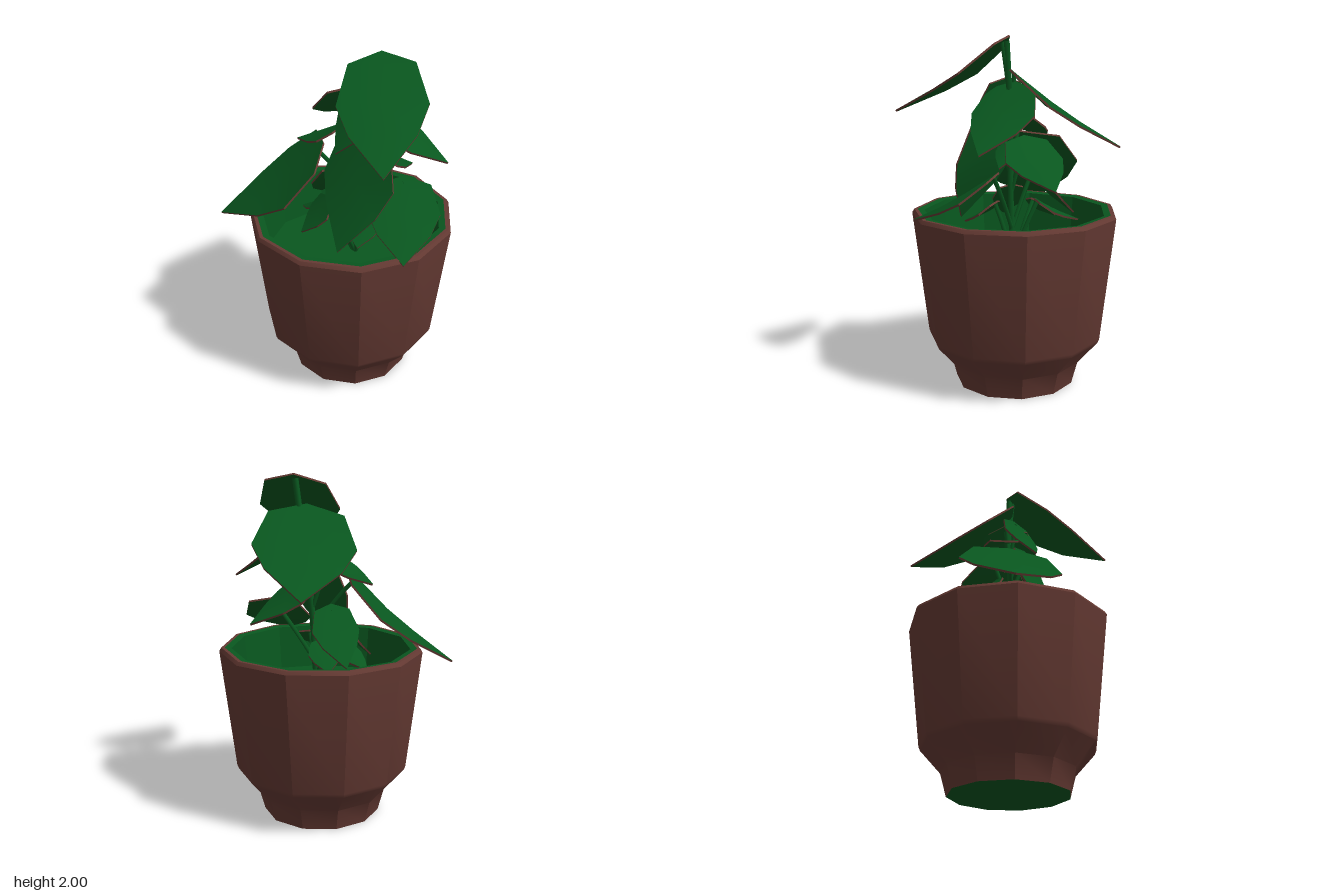
import * as THREE from 'three';
import { toCreasedNormals } from 'three/addons/utils/BufferGeometryUtils.js';

const clay = new THREE.MeshStandardMaterial({ color: 0x653a33 });
clay.name = 'clay brown';
const green = new THREE.MeshStandardMaterial({ color: 0x09571f });
green.name = 'leaf green';

const POT_X = 0.073;
const V = (a) => new THREE.Vector3(...a);

function mesh(name, geometry, material) {
  const m = new THREE.Mesh(geometry, material);
  m.name = name;
  return m;
}

// Eleven-sided turned part with a corner on the +x side
function turned(name, profile, material) {
  const points = profile.map(([r, y]) => new THREE.Vector2(r, y));
  const geo = new THREE.LatheGeometry(points, 11, Math.PI / 2);
  const m = mesh(name, toCreasedNormals(geo, 0.52), material);
  m.position.x = POT_X;
  return m;
}

// Non-indexed geometry with flat faces
function facets(triangles) {
  const geo = new THREE.BufferGeometry().setFromPoints(triangles);
  geo.computeVertexNormals();
  return geo;
}

// Half outline of a leaf: [distance along it, half width as a share of its width]
const HALF = [[0, 0], [0.09, 0.37], [0.4, 0.5], [0.65, 0.36], [1, 0]];

// Eight-cornered leaf blade from base to tip with drooping sides and a thin brown edge
function leaf({ name, base, tip, width, roll = 0 }) {
  const start = V(base);
  const axis = V(tip).sub(start);
  const length = axis.length();
  const dir = axis.clone().normalize();
  const side = new THREE.Vector3(0, 1, 0).cross(dir).normalize().applyAxisAngle(dir, roll);
  const normal = dir.clone().cross(side).normalize();
  const at = (t, w, drop) => start.clone()
    .addScaledVector(axis, t)
    .addScaledVector(side, w * width)
    .addScaledVector(normal, -length * t * (1 - t) * (0.1 + 0.3 * Math.abs(w)) - drop);

  // Rows of left, middle and right points; the first and last rows are single points
  const rows = (drop) => HALF.map(([t, w]) => [at(t, w, drop), at(t, 0, drop), at(t, -w, drop)]);
  const skin = (r, flip) => {
    const out = [];
    const tri = (a, b, c) => out.push(...(flip ? [a, c, b] : [a, b, c]));
    for (let i = 0; i < r.length - 1; i++) {
      for (let j = 0; j < 2; j++) {
        if (i > 0) tri(r[i][j], r[i][j + 1], r[i + 1][j]);
        if (i < r.length - 2) tri(r[i][j + 1], r[i + 1][j + 1], r[i + 1][j]);
      }
    }
    return out;
  };
  const ring = (r) => [...r.map((p) => p[2]), ...r.slice(1, -1).reverse().map((p) => p[0])];
  const top = rows(0);
  const under = rows(0.011);

  // Edge strip between the two skins
  const a = ring(top);
  const b = ring(under);
  const edge = [];
  a.forEach((p, i) => {
    const k = (i + 1) % a.length;
    edge.push(p, b[i], a[k], a[k], b[i], b[k]);
  });

  const g = new THREE.Group();
  g.name = name;
  const blade = [...skin(top, false), ...skin(under, true)];
  g.add(mesh('leafBlade', toCreasedNormals(facets(blade), 0.7), green));
  g.add(mesh('leafEdge', facets(edge), clay));
  return g;
}

// Main stem path, also used to root the leaf stalks
const stemCurve = new THREE.CatmullRomCurve3([
  V([0.1, 0.72, 0]), V([0.13, 1.2, 0]), V([0.17, 1.6, -0.02]), V([0.22, 1.97, -0.025]),
]);

function stalk(base, tip) {
  const end = V(base).lerp(V(tip), 0.06);
  end.y -= 0.012;
  const u = THREE.MathUtils.clamp((base[1] - 0.4 - 0.72) / 1.25, 0, 1);
  const root = stemCurve.getPoint(u);
  const mid = root.clone().lerp(end, 0.6);
  mid.y += 0.03;
  const curve = new THREE.QuadraticBezierCurve3(root, mid, end);
  return mesh('leafStalk', new THREE.TubeGeometry(curve, 4, 0.013, 5), green);
}

const LEAVES = [
  { name: 'topFrontLeaf', base: [0.22, 2.0, -0.04], tip: [0.43, 1.59, 0.56], width: 0.48, roll: 0.06 },
  { name: 'topBackLeaf', base: [0.16, 1.83, 0], tip: [-0.1, 1.39, -0.57], width: 0.58, roll: -0.08 },
  { name: 'bigSideLeaf', base: [-0.08, 1.45, 0.04], tip: [-0.67, 0.96, 0.19], width: 0.59, roll: -0.145 },
  { name: 'middleFrontLeaf', base: [0.18, 1.57, 0.08], tip: [0.11, 0.95, 0.34], width: 0.45 },
  { name: 'lowFrontLeaf', base: [0.37, 1.28, -0.05], tip: [0.51, 1.0, 0.41], width: 0.4 },
  { name: 'upperSideLeaf', base: [0.15, 1.75, -0.04], tip: [0.61, 1.4, -0.06], width: 0.37 },
  { name: 'middleBackLeaf', base: [0.1, 1.45, -0.07], tip: [0.33, 1.19, -0.37], width: 0.35 },
  { name: 'smallSideLeaf', base: [0.02, 1.56, 0], tip: [-0.27, 1.41, -0.04], width: 0.22 },
  { name: 'upperFrontLeaf', base: [0.14, 1.77, 0.02], tip: [0.04, 1.47, 0.18], width: 0.27 },
  { name: 'lowBackLeaf', base: [-0.02, 1.28, -0.06], tip: [-0.21, 0.97, -0.25], width: 0.28 },
  { name: 'innerSideLeaf', base: [0.14, 1.43, 0], tip: [0.27, 1.28, 0], width: 0.13 },
  { name: 'tinyFrontLeaf', base: [-0.04, 1.14, 0.08], tip: [-0.16, 0.94, 0.2], width: 0.2 },
  { name: 'tinyRearLeaf', base: [0.02, 1.08, -0.1], tip: [-0.13, 0.95, -0.31], width: 0.18 },
  { name: 'tinySideLeaf', base: [-0.08, 1.06, -0.03], tip: [-0.27, 0.93, -0.1], width: 0.16 },
  { name: 'tinyRightLeaf', base: [0.18, 1.08, 0.06], tip: [0.2, 0.95, 0.26], width: 0.2 },
];

export function createModel() {
  const model = new THREE.Group();
  model.name = 'pottedPlant';

  // Pot: outer wall and rim in clay, base, inner wall and soil in green
  model.add(turned('potWall', [[0.345, 0], [0.38, 0.13], [0.497, 0.262], [0.507, 0.285],
    [0.592, 0.995], [0.58, 1.015], [0.56, 1.015]], clay));
  model.add(turned('potBase', [[0, 0], [0.345, 0]], green));
  model.add(turned('potLiner', [[0.56, 1.015], [0.522, 1.01], [0.498, 0.75]], green));
  model.add(turned('soil', [[0.498, 0.75], [0, 0.75]], green));

  // Plant
  const plant = new THREE.Group();
  plant.name = 'plant';
  plant.add(mesh('mainStem', new THREE.TubeGeometry(stemCurve, 10, 0.018, 6), green));
  for (const spec of LEAVES) {
    plant.add(leaf(spec));
    plant.add(stalk(spec.base, spec.tip));
  }
  model.add(plant);
  return model;
}
